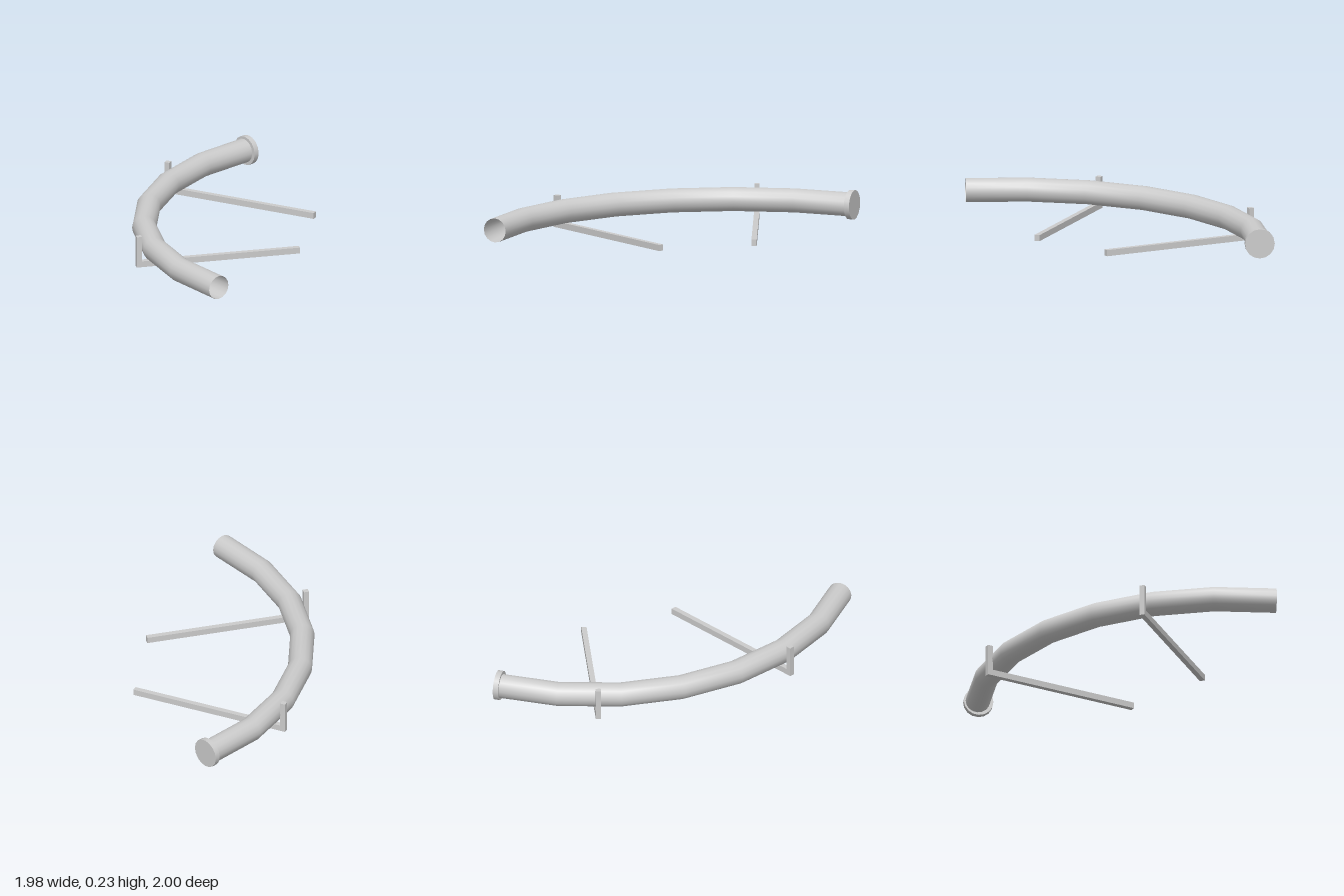
import * as THREE from 'three';
import { mergeVertices } from 'three/addons/utils/BufferGeometryUtils.js';

const SEGMENTS = 7, SIDES = 16, STEP = 0.432, PIPE_Y = 0.13, PIPE_R = 0.085;
const rad = THREE.MathUtils.degToRad;
// heading of straight section i, measured from -z towards +x
const heading = (i) => rad(2.4 + 14.1 * i);

// Ring centres and headings along the bent pipe
function pipeRings() {
  const rings = [];
  let x = -0.907, z = 0.995;
  for (let i = 0; i <= SEGMENTS; i++) {
    const before = heading(Math.max(i - 1, 0));
    const after = heading(Math.min(i, SEGMENTS - 1));
    rings.push({ x, z, angle: (before + after) / 2 });
    x += Math.sin(heading(i)) * STEP;
    z -= Math.cos(heading(i)) * STEP;
  }
  return rings;
}

// Open cylinder bent by moving each ring onto the path
function pipeGeometry(rings) {
  let geo = new THREE.CylinderGeometry(PIPE_R, PIPE_R, SEGMENTS, SIDES, SEGMENTS, true);
  const pos = geo.attributes.position;
  for (let i = 0; i < pos.count; i++) {
    const ring = rings[Math.round(pos.getY(i) + SEGMENTS / 2)];
    const side = pos.getX(i), up = pos.getZ(i);
    pos.setXYZ(i,
      ring.x + Math.cos(ring.angle) * side,
      PIPE_Y + up,
      ring.z + Math.sin(ring.angle) * side);
  }
  geo.deleteAttribute('uv');
  geo.deleteAttribute('normal');
  geo = mergeVertices(geo, 1e-5);
  geo.computeVertexNormals();
  return geo;
}

// L-shaped bracket: floor bar from the outer end to the inner end, with an upright post
function bracket(name, x0, z0, x1, z1, material) {
  const group = new THREE.Group();
  group.name = name;
  const length = Math.hypot(x1 - x0, z1 - z0), w = 0.037;
  const bar = new THREE.Mesh(new THREE.BoxGeometry(length, 0.043, w), material);
  bar.name = 'floorBar';
  bar.position.set(length / 2, 0.0215, 0);
  const post = new THREE.Mesh(new THREE.BoxGeometry(w, 0.182, w), material);
  post.name = 'post';
  post.position.set(w / 2, 0.134, 0);
  group.add(bar, post);
  group.position.set(x0, 0, z0);
  group.rotation.y = -Math.atan2(z1 - z0, x1 - x0);
  return group;
}

export function createModel() {
  const model = new THREE.Group();
  model.name = 'curvedPipe';
  const grey = new THREE.MeshStandardMaterial({ color: 0xcccccc });
  const openGrey = new THREE.MeshStandardMaterial({ color: 0xcccccc, side: THREE.DoubleSide });

  // Pipe, open at the front end
  const pipe = new THREE.Mesh(pipeGeometry(pipeRings()), openGrey);
  pipe.name = 'pipe';
  model.add(pipe);

  // Wider closed cap on the far end
  const cap = new THREE.Mesh(new THREE.CylinderGeometry(0.104, 0.104, 0.038, SIDES), grey);
  cap.name = 'endCap';
  cap.rotation.set(0, rad(2), -Math.PI / 2);
  cap.position.set(0.965, PIPE_Y, -0.896);
  model.add(cap);

  // Supports under the pipe
  model.add(
    bracket('rightBracket', -0.862, 0.061, 0.177, 0.589, grey),
    bracket('leftBracket', 0.236, -0.91, 0.69, 0.154, grey)
  );
  return model;
}
